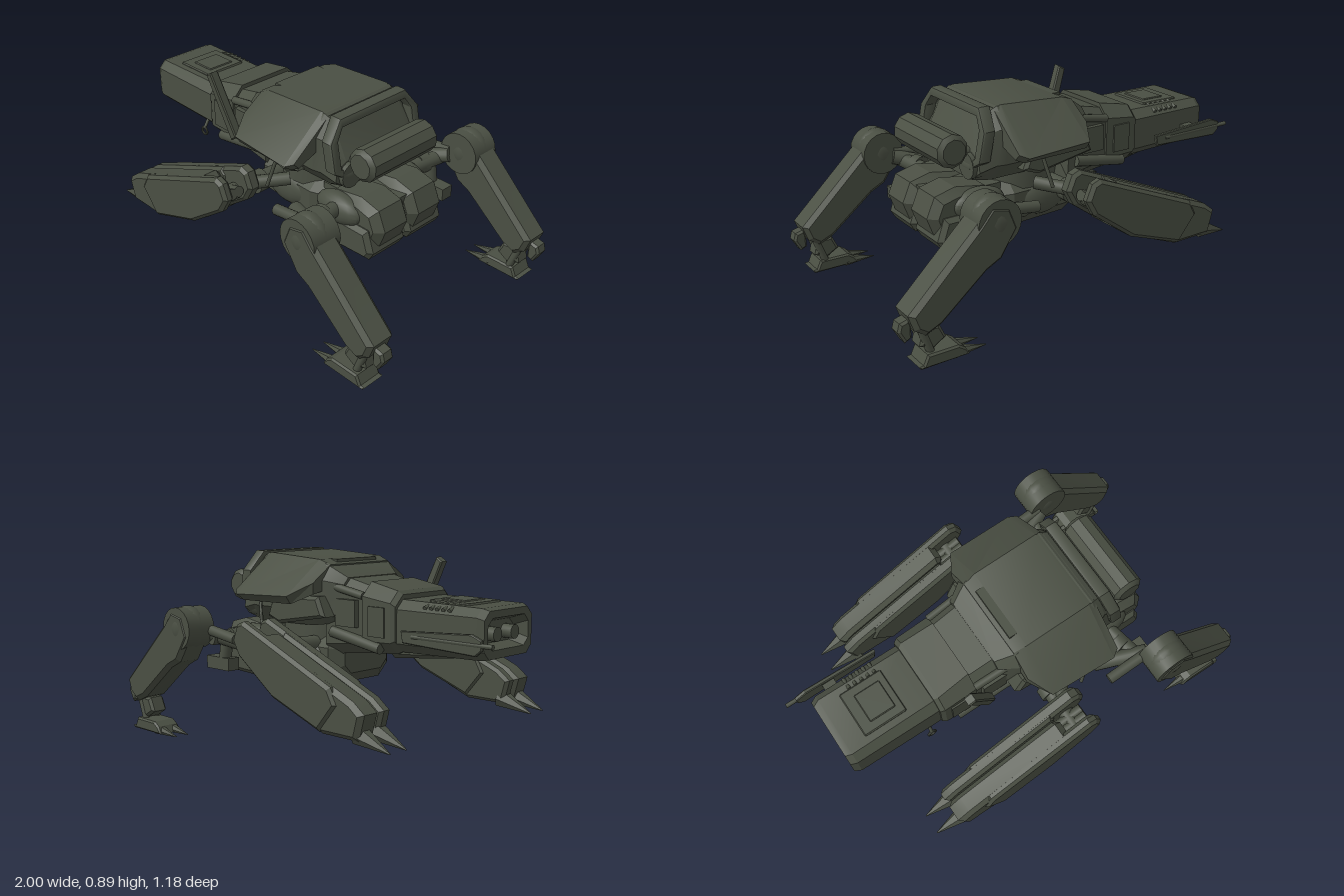
import * as THREE from 'three';
import { toCreasedNormals } from 'three/addons/utils/BufferGeometryUtils.js';

export function createModel() {
  const model = new THREE.Group();
  const olive = new THREE.MeshStandardMaterial({ color: 0x4a4f43 });
  olive.name = 'dark olive armour';
  const V = (a) => new THREE.Vector3(...a);

  const add = (name, geo, crease = 0.6) => {
    const mesh = new THREE.Mesh(toCreasedNormals(geo, crease), olive);
    mesh.name = name;
    model.add(mesh);
    return mesh;
  };
  // Side profile in x/y given thickness between two z values
  const prism = (name, pts, za, zb, bevel = 0.015) => {
    const z0 = Math.min(za, zb), depth = Math.abs(zb - za);
    const shape = new THREE.Shape(pts.map((p) => new THREE.Vector2(...p)));
    const geo = new THREE.ExtrudeGeometry(shape, {
      depth: depth - 2 * bevel, bevelEnabled: true, bevelThickness: bevel,
      bevelSize: bevel, bevelOffset: -bevel, bevelSegments: 1,
    });
    return add(name, geo.translate(0, 0, z0 + bevel), 0.3);
  };
  const box = (name, x0, x1, y0, y1, z0, z1) => add(name,
    new THREE.BoxGeometry(x1 - x0, y1 - y0, Math.abs(z1 - z0)).translate((x0 + x1) / 2, (y0 + y1) / 2, (z0 + z1) / 2));
  // Round or faceted rod between two points
  const rod = (name, a, b, r0, r1 = r0, sides = 14) => {
    const p = V(a), q = V(b), d = q.clone().sub(p);
    const geo = new THREE.CylinderGeometry(r1, r0, d.length(), sides);
    geo.applyQuaternion(new THREE.Quaternion().setFromUnitVectors(new THREE.Vector3(0, 1, 0), d.normalize()));
    const m = p.add(q).multiplyScalar(0.5);
    return add(name, geo.translate(m.x, m.y, m.z));
  };
  const ball = (name, x, y, z, rx, ry, rz) => add(name,
    new THREE.SphereGeometry(1, 16, 12).scale(rx, ry, rz).translate(x, y, z));
  // Mirrored half sections [z, y], listed top to bottom, joined along x
  const loft = (name, sections) => {
    const pos = [], index = [];
    const n = sections[0][1].length * 2;
    for (const [x, half] of sections) {
      const ring = [...half, ...half.slice().reverse().map(([z, y]) => [-z, y])];
      for (const [z, y] of ring) pos.push(x, y, z);
    }
    for (let s = 0; s < sections.length - 1; s++) for (let i = 0; i < n; i++) {
      const a = s * n + i, a1 = s * n + (i + 1) % n;
      index.push(a, a1, a + n, a + n, a1, a1 + n);
    }
    const last = (sections.length - 1) * n;
    for (let i = 1; i < n - 1; i++) index.push(0, i + 1, i, last, last + i, last + i + 1);
    const geo = new THREE.BufferGeometry();
    geo.setAttribute('position', new THREE.Float32BufferAttribute(pos, 3));
    geo.setIndex(index);
    return add(name, geo, 0.35);
  };
  const chamfered = (x, w, y0, y1, c) => [x, [[w - c, y1], [w, y1 - c], [w, y0 + c], [w - c, y0]]];

  // Head with recessed nose
  loft('head', [
    chamfered(-0.84, 0.12, 0.56, 0.65, 0.03), chamfered(-0.9, 0.14, 0.54, 0.67, 0.03),
    chamfered(-0.9, 0.165, 0.505, 0.7, 0.035), chamfered(-0.87, 0.178, 0.5, 0.71, 0.035),
    chamfered(-0.46, 0.18, 0.49, 0.715, 0.04),
  ]);
  for (const z of [-0.06, 0.06]) rod('noseSensor', [-0.83, 0.6, z], [-0.89, 0.6, z], 0.03);
  prism('headHatch', [[-0.79, 0.7], [-0.57, 0.7], [-0.58, 0.722], [-0.78, 0.719]], -0.11, 0.11, 0.005);
  prism('hatchPanel', [[-0.74, 0.71], [-0.6, 0.71], [-0.61, 0.727], [-0.73, 0.725]], -0.07, 0.07, 0.004);
  for (let i = 0; i < 5; i++) rod('headRib', [-0.73 + i * 0.032, 0.69, -0.17], [-0.73 + i * 0.032, 0.712, -0.11], 0.009);
  loft('chin', [chamfered(-0.68, 0.09, 0.48, 0.51, 0.01), chamfered(-0.4, 0.14, 0.455, 0.51, 0.02)]);
  add('towRing', new THREE.TorusGeometry(0.018, 0.006, 8, 16).translate(-0.52, 0.465, 0.19));
  rod('towRingStem', [-0.52, 0.52, 0.165], [-0.52, 0.48, 0.19], 0.008);

  // Neck sections
  loft('neck', [
    chamfered(-0.46, 0.19, 0.49, 0.735, 0.05), chamfered(-0.44, 0.2, 0.48, 0.75, 0.05),
    chamfered(-0.28, 0.2, 0.465, 0.78, 0.06),
  ]);
  loft('collar', [chamfered(-0.28, 0.19, 0.465, 0.76, 0.05), chamfered(-0.06, 0.2, 0.44, 0.81, 0.05)]);
  for (const s of [-1, 1]) {
    box('neckPanel', -0.41, -0.32, 0.55, 0.68, s * 0.19, s * 0.208);
    rod('neckPiston', [-0.38, 0.5, s * 0.19], [-0.1, 0.55, s * 0.2], 0.025);
    box('collarBlock', -0.25, -0.13, 0.58, 0.7, s * 0.16, s * 0.215);
    rod('collarRail', [-0.28, 0.72, s * 0.19], [-0.06, 0.76, s * 0.2], 0.018);
  }
  prism('sideStrut', [[-0.365, 0.85], [-0.33, 0.87], [-0.21, 0.57], [-0.25, 0.54]], 0.205, 0.25, 0.006).geometry
    .applyMatrix4(new THREE.Matrix4().makeShear(0, 0, 0, 0.12, 0, 0).setPosition(0, 0, -0.07));

  // Side gun
  rod('gunBarrel', [-1, 0.58, -0.245], [-0.6, 0.58, -0.245], 0.01);
  prism('gunBody', [[-0.95, 0.56], [-0.92, 0.535], [-0.55, 0.55], [-0.54, 0.6], [-0.9, 0.62], [-0.95, 0.6]], -0.252, -0.232, 0.004);
  box('gunMount', -0.82, -0.76, 0.56, 0.6, -0.235, -0.17);

  // Upper hull, its tail sloping down inside the rear frame
  loft('hullCore', [
    [-0.16, [[0.16, 0.79], [0.19, 0.76], [0.2, 0.62], [0.16, 0.57]]],
    [-0.07, [[0.2, 0.845], [0.25, 0.78], [0.25, 0.64], [0.2, 0.58]]],
    [0.0, [[0.2, 0.865], [0.27, 0.79], [0.27, 0.64], [0.22, 0.57]]],
    [0.32, [[0.2, 0.882], [0.27, 0.8], [0.27, 0.64], [0.2, 0.56]]],
    [0.36, [[0.19, 0.86], [0.25, 0.79], [0.26, 0.64], [0.2, 0.56]]],
    [0.44, [[0.19, 0.7], [0.24, 0.68], [0.25, 0.62], [0.18, 0.57]]],
  ]);
  box('roofPlate', -0.06, 0.02, 0.84, 0.866, -0.13, 0.13);
  // Sloping shoulder plates with thin stays
  loft('shoulderPlates', [
    [-0.08, [[0.19, 0.845], [0.3, 0.77], [0.3, 0.72], [0.19, 0.74]]],
    [-0.02, [[0.2, 0.866], [0.405, 0.715], [0.38, 0.68], [0.2, 0.75]]],
    [0.3, [[0.2, 0.885], [0.415, 0.705], [0.375, 0.675], [0.2, 0.76]]],
    [0.335, [[0.19, 0.875], [0.39, 0.72], [0.36, 0.69], [0.19, 0.76]]],
  ]);
  for (const s of [-1, 1]) {
    rod('shoulderStay', [0.2, 0.69, s * 0.36], [0.16, 0.54, s * 0.385], 0.008);
    prism('hullSideArmour', [[-0.13, 0.62], [-0.09, 0.71], [0.2, 0.7], [0.24, 0.6], [0.16, 0.57]], s * 0.2, s * 0.29);
    rod('rearCanister', [0.25, 0.635, s * 0.17], [0.46, 0.635, s * 0.17], 0.07, 0.06);
  }
  // Rear roll frame, leaning back
  const hex = (w, c, top, mid, low, bot) => [[-c, top], [-w, mid], [-w, low], [-c, bot], [c, bot], [w, low], [w, mid], [c, top]]
    .map((p) => new THREE.Vector2(...p));
  const frame = new THREE.Shape(hex(0.27, 0.2, 0.89, 0.8, 0.67, 0.625));
  frame.holes.push(new THREE.Path(hex(0.225, 0.19, 0.85, 0.8, 0.68, 0.66)));
  const frameGeo = new THREE.ExtrudeGeometry(frame, { depth: 0.04, bevelSize: 0.01, bevelOffset: -0.01, bevelThickness: 0.01, bevelSegments: 2 });
  frameGeo.rotateY(Math.PI / 2).applyMatrix4(new THREE.Matrix4().makeShear(0, 0, -0.2, 0, 0, 0).setPosition(0.54, 0, 0));
  add('rearFrame', frameGeo);
  rod('rearDrum', [0.535, 0.72, -0.19], [0.535, 0.72, 0.19], 0.075, 0.075, 10);
  for (const s of [-1, 1]) {
    rod('drumCap', [0.535, 0.72, s * 0.19], [0.535, 0.72, s * 0.208], 0.075, 0.055, 10);
    rod('drumArm', [0.53, 0.71, s * 0.15], [0.4, 0.68, s * 0.15], 0.025);
  }

  // Waist, belly and pelvis
  rod('waistRing', [0.12, 0.48, 0], [0.12, 0.62, 0], 0.21, 0.21, 20);
  loft('belly', [
    chamfered(-0.12, 0.14, 0.35, 0.5, 0.04), chamfered(-0.07, 0.2, 0.3, 0.53, 0.06),
    chamfered(0.24, 0.21, 0.295, 0.53, 0.06), chamfered(0.31, 0.17, 0.34, 0.51, 0.05),
  ]);
  box('pelvisCore', 0.28, 0.6, 0.34, 0.52, -0.16, 0.16);
  for (const s of [-1, 1]) {
    ball('bellyTank', 0.08, 0.42, s * 0.17, 0.14, 0.09, 0.06);
    prism('pelvisCushion', [[0.32, 0.42], [0.37, 0.53], [0.52, 0.555], [0.62, 0.53], [0.66, 0.44], [0.63, 0.36], [0.4, 0.36]], s * 0.003, s * 0.21, 0.035);
    prism('pelvisGuard', [[0.33, 0.33], [0.35, 0.44], [0.6, 0.44], [0.635, 0.34], [0.61, 0.3], [0.4, 0.29]], s * 0.005, s * 0.235, 0.02);
    ball('pelvisSidePod', 0.42, 0.47, s * 0.2, 0.13, 0.07, 0.06);
  }

  // Armour half of a front leg, cut short to leave room for the shoulder
  const legFront = [[-0.63, 0.31], [-0.57, 0.355], [-0.06, 0.565], [-0.03, 0.54], [-0.03, 0.37], [-0.12, 0.31], [-0.4, 0.2], [-0.6, 0.2]];
  // Full-length side cheek of a front leg
  const legCheek = [[-0.5, 0.33], [-0.46, 0.4], [0.06, 0.615], [0.1, 0.6], [0.13, 0.53], [0.09, 0.46], [-0.12, 0.31], [-0.4, 0.21]];

  for (const s of [-1, 1]) {
    // Rear leg: hip, knee, thigh, ankle and foot
    rod('rearHipAxle', [0.42, 0.48, s * 0.2], [0.46, 0.49, s * 0.44], 0.035);
    rod('rearHipCollar', [0.42, 0.48, s * 0.3], [0.43, 0.48, s * 0.35], 0.05);
    box('rearHipBox', 0.4, 0.56, 0.33, 0.39, s * 0.325, s * 0.39);
    rod('rearHipLink', [0.28, 0.45, s * 0.33], [0.5, 0.51, s * 0.43], 0.035);
    rod('rearHipPiston', [0.28, 0.5, s * 0.44], [0.5, 0.53, s * 0.44], 0.025);
    rod('rearHipPost', [0.46, 0.37, s * 0.36], [0.44, 0.5, s * 0.36], 0.03);
    ball('rearKnee', 0.55, 0.535, s * 0.505, 0.1, 0.105, 0.08);
    rod('kneeDisc', [0.55, 0.535, s * 0.43], [0.55, 0.535, s * 0.575], 0.1, 0.1, 20);
    prism('rearThigh', [[0.46, 0.5], [0.5, 0.6], [0.59, 0.62], [0.65, 0.55], [0.965, 0.25], [0.94, 0.18], [0.89, 0.145], [0.82, 0.175], [0.61, 0.345], [0.54, 0.38]], s * 0.44, s * 0.58, 0.02);
    prism('rearHeelPod', [[0.94, 0.2], [0.95, 0.225], [0.99, 0.215], [1, 0.18], [0.97, 0.125], [0.94, 0.14]], s * 0.48, s * 0.545, 0.01);
    for (const z of [0.475, 0.54]) rod('shinRod', [0.92, 0.22, s * z], [0.86, 0.05, s * z], 0.017);
    prism('ankle', [[0.79, 0.1], [0.82, 0.165], [0.89, 0.17], [0.91, 0.09], [0.85, 0.065]], s * 0.465, s * 0.55, 0.012);
    prism('footBase', [[0.7, 0.005], [0.72, 0.04], [0.75, 0.06], [0.89, 0.062], [0.91, 0.02], [0.93, 0.018], [0.92, 0.005]], s * 0.455, s * 0.575, 0.008);
    for (const z of [0.48, 0.545]) rod('toe', [0.76, 0.022, s * z], [0.61, 0.005, s * z], 0.028, 0.002, 6);

    // Front leg: shoulder, paired armour halves and claws
    rod('frontHipAxle', [0.03, 0.48, s * 0.18], [0.03, 0.49, s * 0.55], 0.038);
    rod('frontHipCollar', [0.03, 0.48, s * 0.3], [0.03, 0.48, s * 0.35], 0.052);
    rod('frontHipLink', [0.16, 0.52, s * 0.25], [0.02, 0.5, s * 0.42], 0.03);
    for (const z of [0.485, 0.52]) rod('shoulderPiston', [0.09, 0.52, s * z], [-0.1, 0.46, s * z], 0.025);
    prism('frontLegOuter', legFront, s * 0.468, s * 0.58, 0.02);
    prism('frontLegOuterCheek', legCheek, s * 0.54, s * 0.592, 0.015);
    prism('frontLegInner', legFront, s * 0.4, s * 0.462, 0.015);
    prism('frontLegInnerCheek', legCheek, s * 0.39, s * 0.455, 0.015);
    for (const z of [0.435, 0.53]) rod('claw', [-0.57, 0.222, s * z], [-0.735, 0.17, s * z], 0.045, 0.003, 6);
  }
  return model;
}
